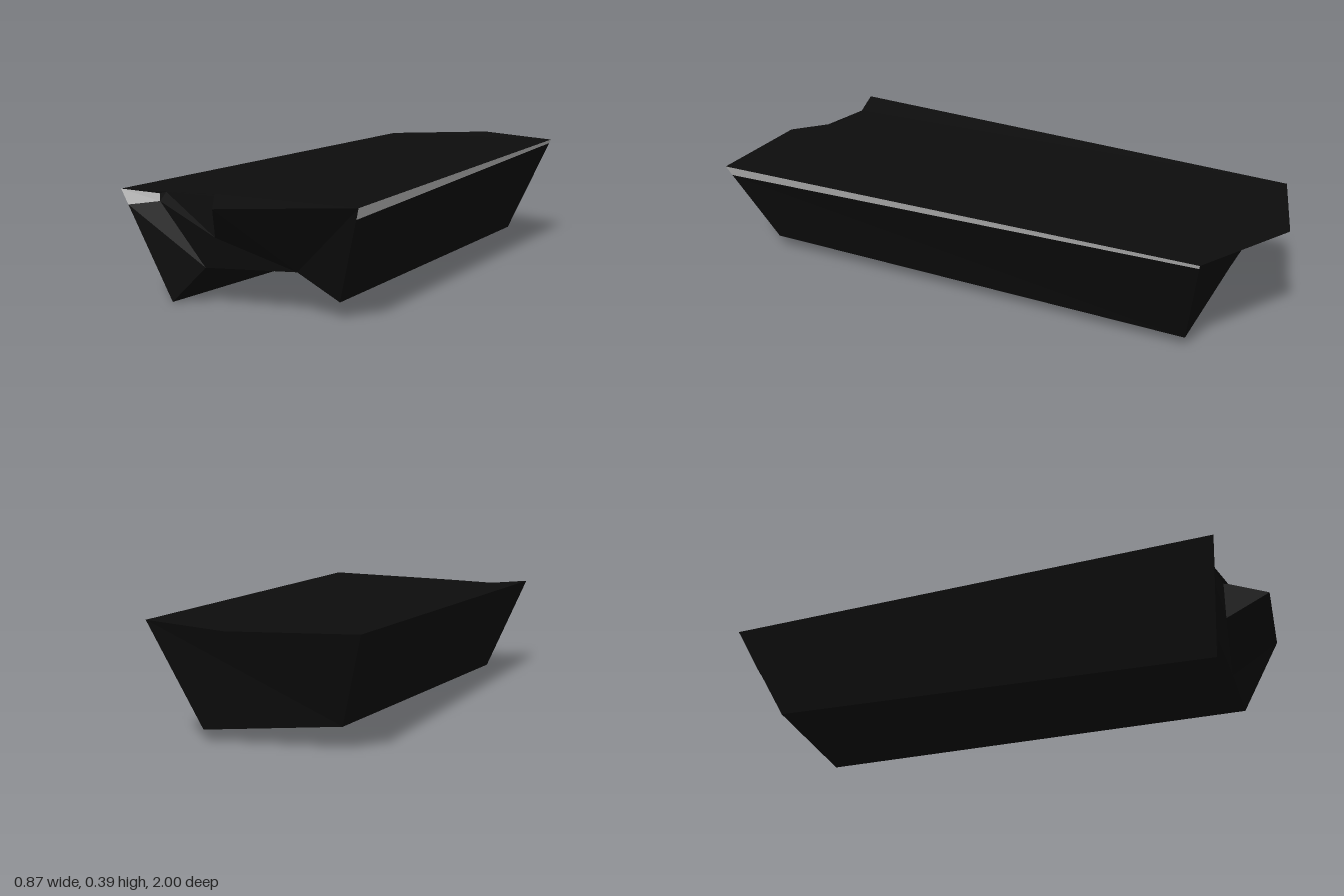
import * as THREE from 'three';

// Corner points of the broken slab
const P = {
  // top rim
  topFL: [-0.435, 0.35, 0.885], topChip: [-0.3, 0.342, 0.842], topNotch: [-0.12, 0.347, 0.86],
  topFR: [0.35, 0.352, 0.9], lipR: [0.4, 0.35, 0.965],
  topBR: [0.433, 0.387, -0.82], topBL: [-0.272, 0.383, -0.885], apex: [0.1, 0.393, -1],
  // broken front end
  lipL: [-0.045, 0.325, 1], notch: [-0.12, 0.215, 0.86],
  archL: [-0.17, 0.115, 0.835], archR: [0.14, 0.125, 0.83],
  chipTop: [-0.32, 0.337, 0.848], chipLow: [-0.32, 0.313, 0.847],
  // bottom rim
  lowFL: [-0.285, 0.0, 0.843], lowFR: [0.285, 0.05, 0.843],
  lowBR: [0.285, 0.037, -0.74], lowBL: [-0.17, 0.077, -0.74], belly: [0.05, 0.078, -0.3],
};
const between = (a, b, t) => P[a].map((v, i) => v + (P[b][i] - v) * t);
P.edgeFL = between('topFL', 'lowFL', 0.14);
P.stripF = between('lipR', 'lowFR', 0.12);
P.stripB = between('topBR', 'lowBR', 0.04);

const black = new THREE.MeshStandardMaterial({ color: 0x0d0d0d, flatShading: true, side: THREE.DoubleSide });
black.name = 'black';
const grey = new THREE.MeshStandardMaterial({ color: 0xc6c6c6, flatShading: true, side: THREE.DoubleSide });
grey.name = 'light grey';

// Builds a flat-faced panel from polygons given as corner names, each cut as a fan
function panel(name, material, polygons) {
  const pos = [];
  for (const text of polygons) {
    const c = text.split(' ');
    for (let i = 1; i < c.length - 1; i++) pos.push(...P[c[0]], ...P[c[i]], ...P[c[i + 1]]);
  }
  const g = new THREE.BufferGeometry();
  g.setAttribute('position', new THREE.Float32BufferAttribute(pos, 3));
  g.computeVertexNormals();
  const mesh = new THREE.Mesh(g, material);
  mesh.name = name;
  return mesh;
}

export function createModel() {
  const group = new THREE.Group();
  group.name = 'brokenSlab';
  group.add(
    panel('topFace', black, ['topChip topFR lipR topBR topBL topFL']),
    // thin pointed flap overhanging the back
    panel('backFlap', black, ['topBL topBR apex']),
    panel('backFace', black, ['topBR lowBR lowBL topBL']),
    panel('leftSide', black, ['topFL topBL lowBL lowFL']),
    panel('rightSide', black, ['stripF lowFR lowBR stripB']),
    panel('rightEdgeStrip', grey, ['lipR stripF stripB topBR']),
    // recessed and stepped fracture
    panel('frontFracture', black, [
      'edgeFL lowFL archL chipLow', 'chipLow archL notch',
      'chipLow notch topChip chipTop', 'topChip notch topNotch', 'notch archL archR',
    ]),
    panel('frontCornerChip', grey, ['topFL edgeFL chipLow chipTop']),
    // protruding lip on the fracture
    panel('frontLip', black, [
      'topNotch lipL lipR topFR', 'topNotch notch lipL',
      'lipL notch archR', 'lipL archR lipR', 'lipR archR lowFR',
    ]),
    // hollowed underside
    panel('underside', black, [
      'belly lowFL lowBL', 'belly lowBL lowBR', 'belly lowBR lowFR',
      'belly lowFR archR', 'belly archR archL', 'belly archL lowFL',
    ]),
  );
  return group;
}
